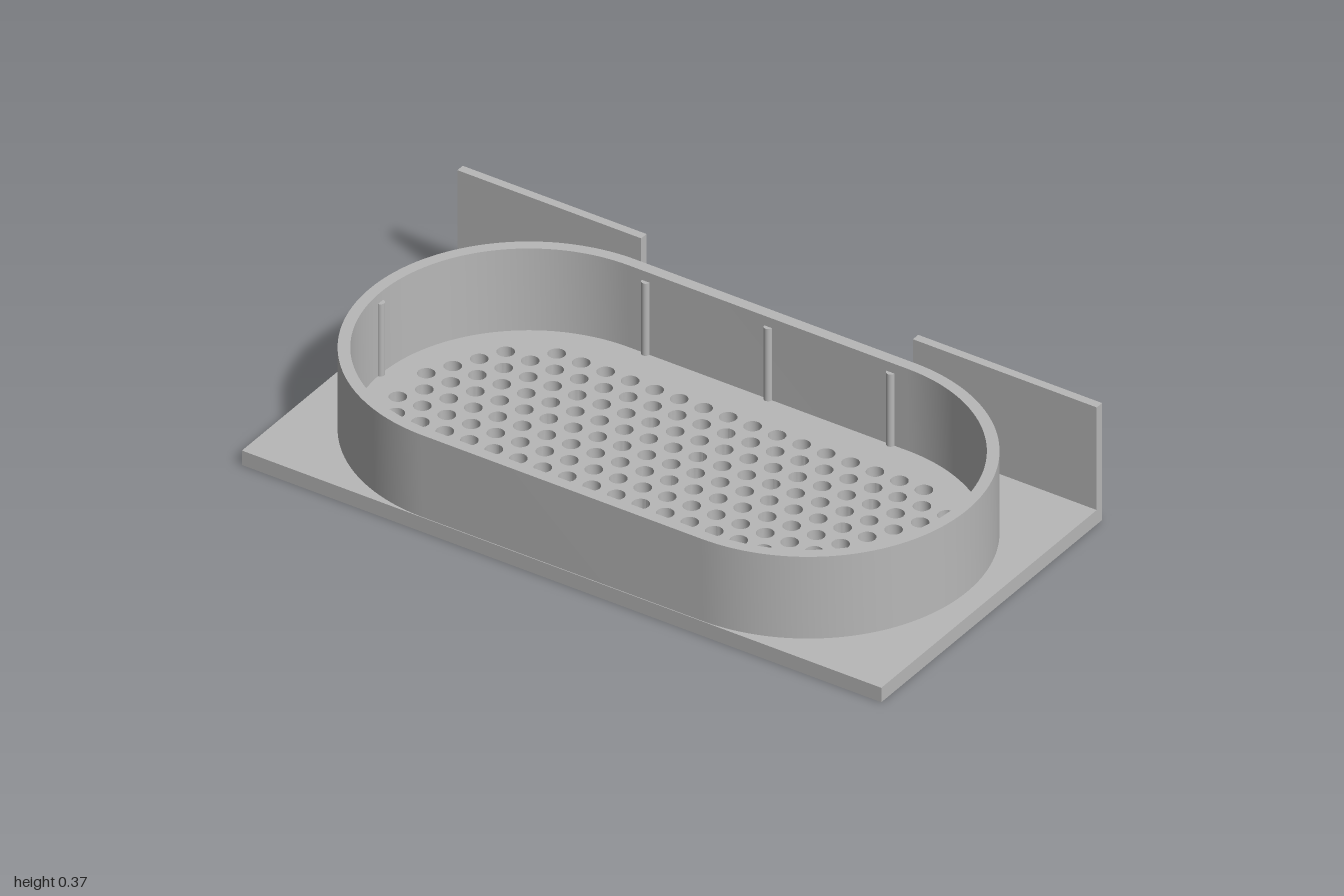
import * as THREE from 'three';
import { toCreasedNormals } from 'three/addons/utils/BufferGeometryUtils.js';

const BASE_H = 0.045, RIM_TOP = 0.3, WALL_H = 0.365;
const HALF_D = 0.515, WALL_T = 0.025;
const CZ = 0.016;                 // z centre of the tray
const STRAIGHT = 0.437;           // half length of the tray's straight sides
const R_OUT = 0.497, R_IN = 0.464;

const gray = new THREE.MeshStandardMaterial({ color: 0xb8b8b8 });
gray.name = 'gray';

function addMesh(parent, name, geometry) {
  const mesh = new THREE.Mesh(geometry, gray);
  mesh.name = name;
  parent.add(mesh);
  return mesh;
}

// Extrude a plan outline (drawn with y = -z) upwards
function extrudeUp(shape, height, curveSegments) {
  const g = new THREE.ExtrudeGeometry(shape, { depth: height, bevelEnabled: false, curveSegments });
  return toCreasedNormals(g.rotateX(-Math.PI / 2), 0.6);
}

function stadium(path, r) {
  path.moveTo(-STRAIGHT, -r);
  path.lineTo(STRAIGHT, -r);
  path.absarc(STRAIGHT, 0, r, -Math.PI / 2, Math.PI / 2, false);
  path.lineTo(-STRAIGHT, r);
  path.absarc(-STRAIGHT, 0, r, Math.PI / 2, Math.PI * 1.5, false);
  return path;
}

// Base plate with a hexagonal grid of drain holes inside a stadium limit
function basePlate() {
  const back = HALF_D - WALL_T;
  const shape = new THREE.Shape([
    new THREE.Vector2(-1, -HALF_D), new THREE.Vector2(1, -HALF_D),
    new THREE.Vector2(1, back), new THREE.Vector2(-1, back),
  ]);
  const pitch = 0.0766, rowStep = pitch * Math.sqrt(3) / 2, limit = 0.385, holeR = 0.0245;
  for (let row = -5; row <= 5; row++) {
    const dz = row * rowStep;
    for (let i = -12; i <= 12; i++) {
      const x = (i + (row % 2 ? 0.5 : 0)) * pitch;
      if (Math.hypot(Math.max(0, Math.abs(x) - STRAIGHT), dz) > limit) continue;
      shape.holes.push(new THREE.Path().absarc(x, dz - CZ + 0.003, holeR, 0, Math.PI * 2, true));
    }
  }
  return extrudeUp(shape, BASE_H, 8);
}

// Back wall with a wide notch in the middle
function backWall() {
  const n = 0.425, notchY = 0.17;
  const pts = [[-1, 0], [1, 0], [1, WALL_H], [n, WALL_H], [n, notchY], [-n, notchY], [-n, WALL_H], [-1, WALL_H]];
  const shape = new THREE.Shape(pts.map(([x, y]) => new THREE.Vector2(x, y)));
  return new THREE.ExtrudeGeometry(shape, { depth: WALL_T, bevelEnabled: false }).translate(0, 0, -HALF_D);
}

export function createModel() {
  const model = new THREE.Group();
  model.name = 'drainTray';

  addMesh(model, 'basePlate', basePlate());
  addMesh(model, 'backWall', backWall());

  // Stadium-shaped tray rim
  const rim = stadium(new THREE.Shape(), R_OUT);
  rim.holes.push(stadium(new THREE.Path(), R_IN));
  addMesh(model, 'trayRim', extrudeUp(rim, RIM_TOP - BASE_H, 40)).position.set(0, BASE_H, CZ);

  // Small round ribs half sunk into the inside of the rim
  const ribs = new THREE.Group();
  ribs.name = 'innerRibs';
  const ribH = 0.27 - BASE_H;
  const ribGeometry = new THREE.CylinderGeometry(0.012, 0.012, ribH, 16);
  const spots = [[-STRAIGHT - R_IN, 0], [STRAIGHT + R_IN, 0]];
  for (const x of [-0.383, 0, 0.383]) spots.push([x, -R_IN], [x, R_IN]);
  for (const [x, z] of spots) {
    addMesh(ribs, 'rib', ribGeometry).position.set(x, BASE_H + ribH / 2, CZ + z);
  }
  model.add(ribs);
  return model;
}
